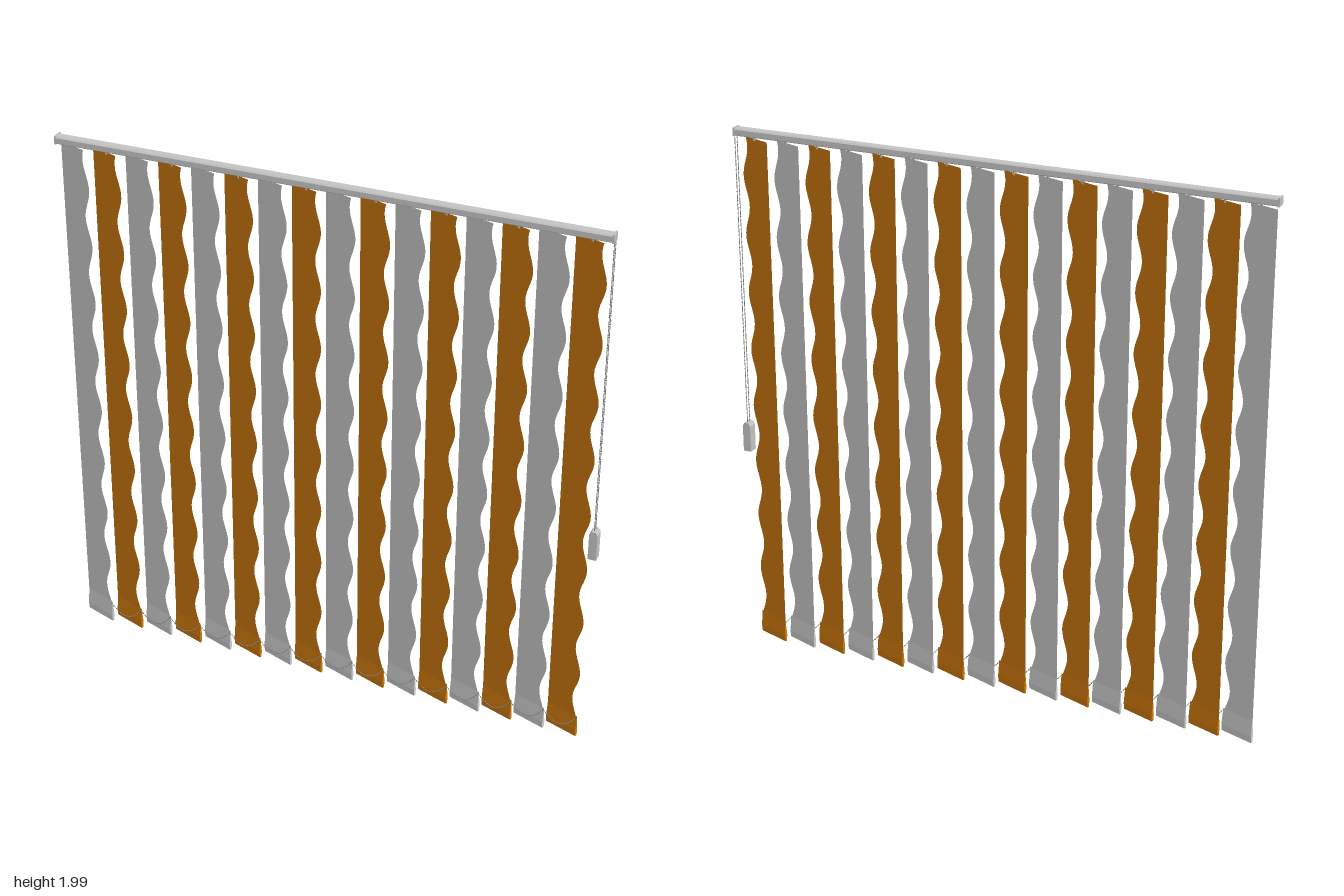
import * as THREE from 'three';

const mat = (name, color, side = THREE.FrontSide) => {
  const m = new THREE.MeshStandardMaterial({ color, side });
  m.name = name;
  return m;
};

const COUNT = 16, PITCH = 0.123, TILT = 0.35, WIDTH = 0.131, TOP = 1.955;
const slatX = i => -0.936 + i * PITCH;

export function createModel() {
  const model = new THREE.Group();
  model.name = 'verticalBlind';
  const grey = mat('greyFabric', 0xd0d0d0, THREE.DoubleSide);
  const orange = mat('orangeFabric', 0xd0780c, THREE.DoubleSide);
  const metal = mat('railGrey', 0xc4c4c4);
  const dark = mat('chainGrey', 0x8c8c8c);

  const add = (name, geo, material, x = 0, y = 0, z = 0, parent = model) => {
    const m = new THREE.Mesh(geo, material);
    m.name = name;
    m.position.set(x, y, z);
    parent.add(m);
    return m;
  };

  // Head rail: chamfered profile extruded along x, with end caps
  const profile = new THREE.Shape();
  [[-0.018, 0.003], [-0.015, 0], [0.015, 0], [0.018, 0.003], [0.018, 0.022], [0.013, 0.027], [-0.013, 0.027], [-0.018, 0.022]]
    .forEach(([x, y], i) => (i ? profile.lineTo(x, y) : profile.moveTo(x, y)));
  const rail = new THREE.ExtrudeGeometry(profile, { depth: 1.975, bevelEnabled: false });
  rail.rotateY(Math.PI / 2);
  add('headRail', rail, metal, -0.995, 1.962, 0);
  for (const x of [-0.9965, 0.981]) add('railEndCap', new THREE.BoxGeometry(0.007, 0.03, 0.038), metal, x, 1.976, 0);

  // Slat: straight left edge, wavy right edge
  const h = WIDTH / 2, slat = new THREE.Shape();
  slat.moveTo(-h, 0.06);
  slat.lineTo(h, 0.06);
  for (let k = 0; k <= 110; k++) {
    const y = 0.08 + (TOP - 0.08) * k / 110;
    slat.lineTo(h - 0.013 + 0.013 * Math.cos((y - 0.27) / 0.22 * Math.PI * 2), y);
  }
  slat.lineTo(-h, TOP);
  const slatGeo = new THREE.ShapeGeometry(slat);

  // Weighted bottom pocket: wedge section swept across the slat
  const wedge = new THREE.Shape();
  wedge.moveTo(0, 0.09);
  wedge.lineTo(-0.006, 0.03);
  wedge.lineTo(-0.004, 0.004);
  wedge.lineTo(0.004, 0.004);
  wedge.lineTo(0.006, 0.03);
  const pocketGeo = new THREE.ExtrudeGeometry(wedge, { depth: WIDTH, bevelEnabled: false });
  pocketGeo.rotateY(Math.PI / 2);
  pocketGeo.translate(-h, -0.004, 0);

  for (let i = 0; i < COUNT; i++) {
    const fabric = i % 2 ? orange : grey;
    const g = new THREE.Group();
    g.name = 'slat' + (i + 1);
    g.position.set(slatX(i), 0, -0.002);
    g.rotation.y = -TILT;
    add('slatFabric', slatGeo, fabric, 0, 0, 0, g);
    add('bottomPocket', pocketGeo, fabric, 0, 0, 0, g);
    add('hanger', new THREE.BoxGeometry(0.008, 0.02, 0.004), metal, 0, 1.957, 0, g);
    model.add(g);
  }

  // Sagging bead chains linking the front edges of neighbouring slats
  const bead = new THREE.SphereGeometry(0.0026, 6, 4);
  for (let i = 0; i < COUNT - 1; i++) {
    const x0 = slatX(i) + 0.06, pts = [];
    for (let k = 0; k <= 14; k++) {
      const t = k / 14, s = 2 * t - 1;
      const p = new THREE.Vector3(x0 + PITCH * t, 0.038 + 0.045 * s * s, 0.024);
      pts.push(p);
      if (k < 14) add('linkBead', bead, dark, p.x, p.y, p.z);
    }
    add('linkCord', new THREE.TubeGeometry(new THREE.CatmullRomCurve3(pts), 14, 0.0009, 4), dark);
  }

  // Control chain loop with beads and its hanging weight
  for (const z of [-0.008, 0.008]) {
    add('controlCord', new THREE.CylinderGeometry(0.0012, 0.0012, 1.12, 5), dark, 0.983, 1.41, z);
    for (let k = 0; k < 70; k++) add('controlBead', bead, dark, 0.983, 0.86 + k * 0.016, z);
  }
  const tab = new THREE.Shape();
  tab.moveTo(-0.015, 0);
  tab.lineTo(0.015, 0);
  tab.lineTo(0.015, 0.1);
  tab.lineTo(0.008, 0.112);
  tab.lineTo(-0.008, 0.112);
  tab.lineTo(-0.015, 0.1);
  const weight = new THREE.ExtrudeGeometry(tab, { depth: 0.036, bevelEnabled: false });
  weight.translate(0, 0, -0.018);
  add('chainWeight', weight, metal, 0.983, 0.76, 0);

  return model;
}
